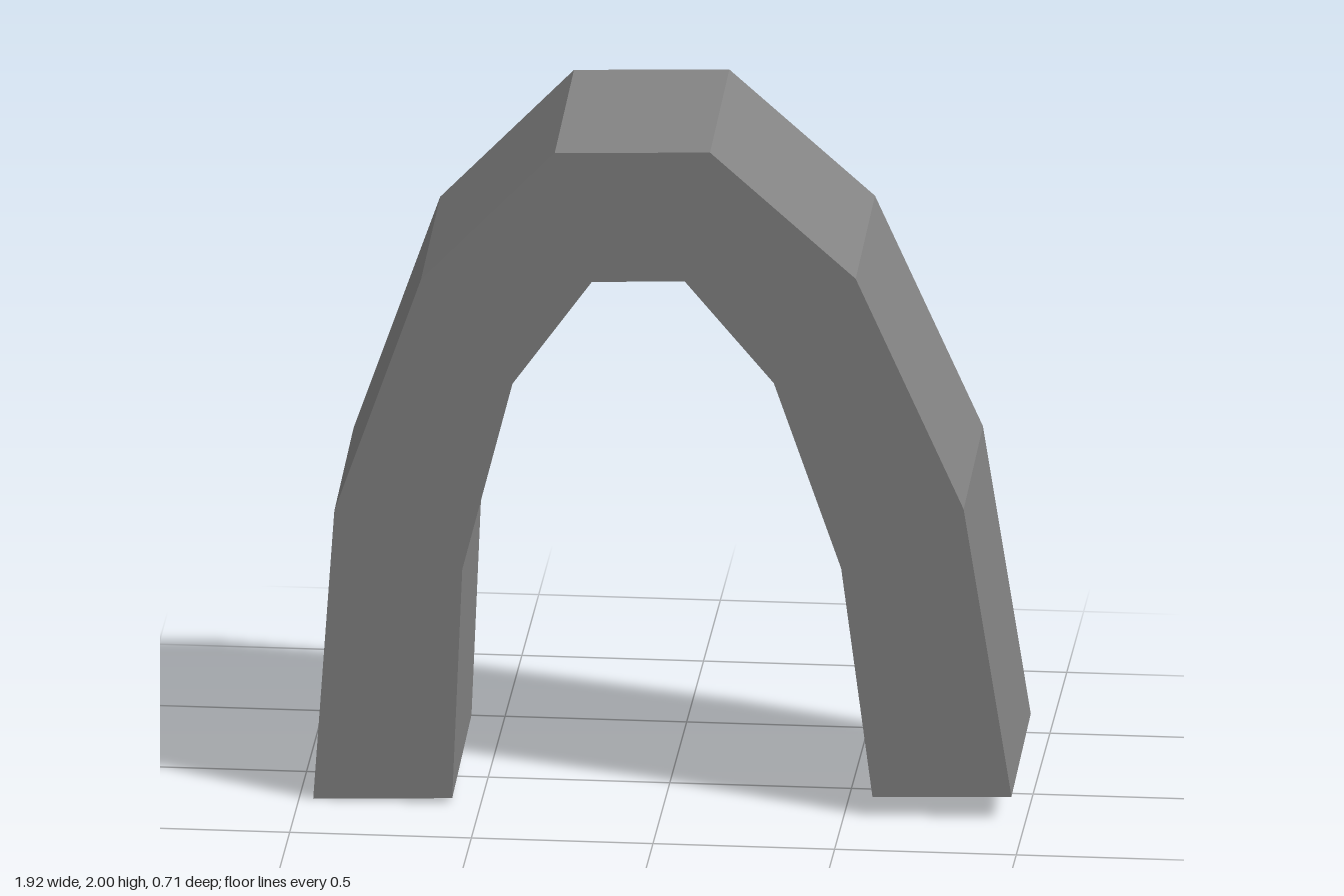
import * as THREE from 'three';

// Half profile of the arch from foot to crown: [x, y]
const OUTER = [[0.962, 0], [0.867, 0.859], [0.599, 1.548], [0.214, 1.926]];
const INNER = [[0.579, 0], [0.522, 0.683], [0.36, 1.237], [0.128, 1.541]];
const HALF_DEPTH = 0.287;

// Mirror a half profile into a full run from -x over the crown to +x
const mirrored = (half) => [...half.map(([x, y]) => [-x, y]), ...[...half].reverse()];

// Four-sided hollow tube swept over the arch, open at both feet
function archGeometry() {
  const outer = mirrored(OUTER);
  const inner = mirrored(INNER);
  const sections = outer.map((o, i) => [
    [...o, HALF_DEPTH], [...o, -HALF_DEPTH],
    [...inner[i], -HALF_DEPTH], [...inner[i], HALF_DEPTH],
  ]);
  const positions = [];
  for (let i = 0; i < sections.length - 1; i++) {
    const a = sections[i], b = sections[i + 1];
    for (let k = 0; k < 4; k++) {
      const n = (k + 1) % 4;
      for (const p of [a[k], b[k], b[n], a[k], b[n], a[n]]) positions.push(...p);
    }
  }
  const geometry = new THREE.BufferGeometry();
  geometry.setAttribute('position', new THREE.Float32BufferAttribute(positions, 3));
  geometry.computeVertexNormals();
  return geometry;
}

export function createModel() {
  const model = new THREE.Group();
  model.name = 'archModel';
  const material = new THREE.MeshStandardMaterial({
    color: 0x848484, flatShading: true, side: THREE.DoubleSide,
  });
  const arch = new THREE.Mesh(archGeometry(), material);
  arch.name = 'arch';
  // The arch leans slightly forward and to one side
  arch.rotation.set(0.0684, 0, 0.0365);
  arch.position.set(0, 0.052, -0.065);
  model.add(arch);
  return model;
}
